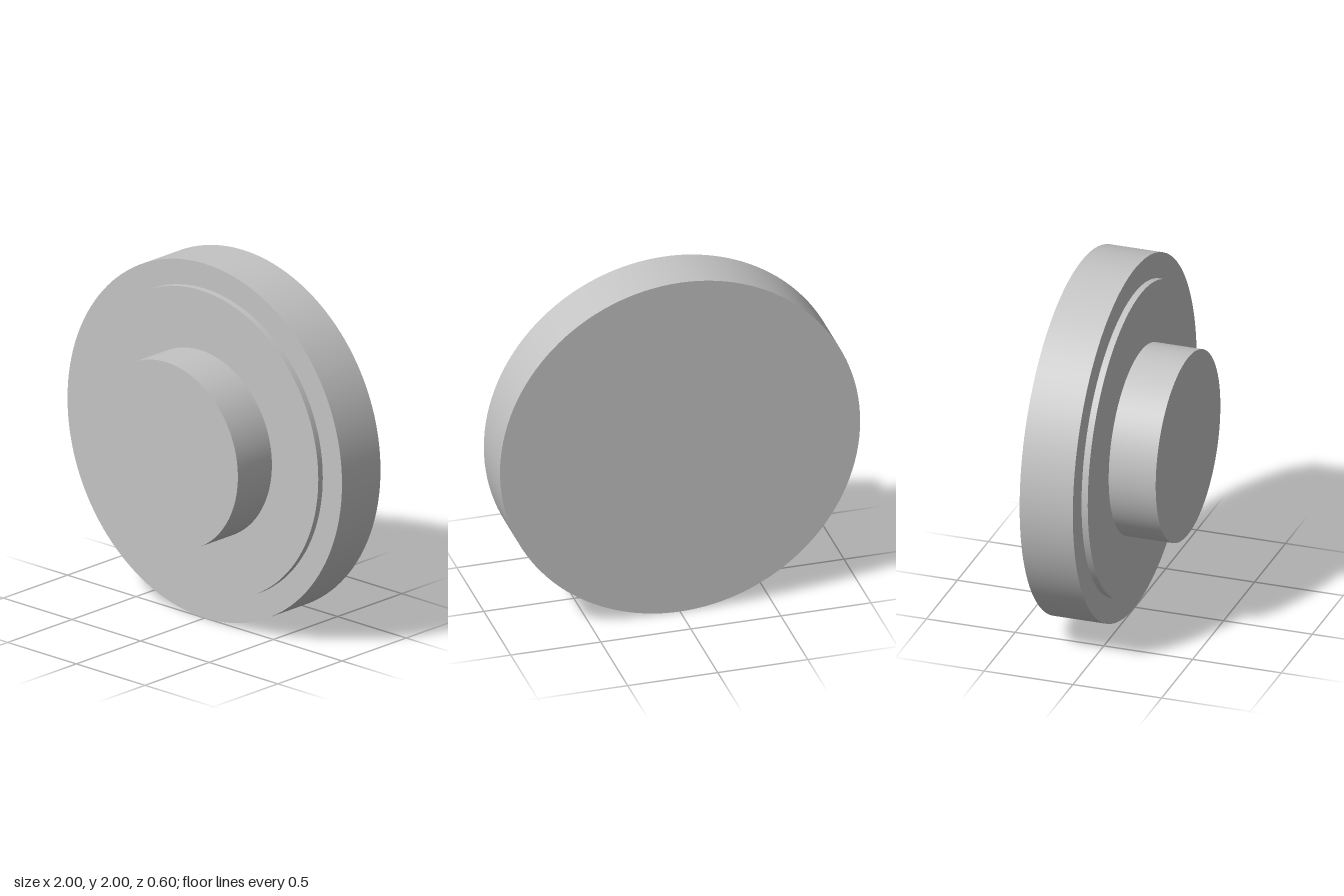
import * as THREE from 'three';
import { mergeGeometries } from 'three/addons/utils/BufferGeometryUtils.js';

const SEGMENTS = 128;

// Outer wall of a round step along z
function wall(radius, back, front) {
  return new THREE.CylinderGeometry(radius, radius, front - back, SEGMENTS, 1, true)
    .rotateX(Math.PI / 2)
    .translate(0, 0, (back + front) / 2);
}

// Flat front face, left open where the next step sits on it
function face(inner, outer, z) {
  const geometry = inner > 0
    ? new THREE.RingGeometry(inner, outer, SEGMENTS, 1)
    : new THREE.CircleGeometry(outer, SEGMENTS);
  return geometry.translate(0, 0, z);
}

export function createModel() {
  const group = new THREE.Group();
  group.name = 'steppedDisc';

  const grey = new THREE.MeshStandardMaterial({ color: 0xc4c4c4 });
  grey.name = 'light grey';

  // Concentric steps from back to front
  const steps = [
    { name: 'baseDisc', radius: 1, back: -0.3, front: 0 },
    { name: 'raisedStep', radius: 0.86, back: 0, front: 0.035 },
    { name: 'centreHub', radius: 0.522, back: 0.035, front: 0.3 },
  ];

  steps.forEach(({ name, radius, back, front }, i) => {
    const inner = i + 1 < steps.length ? steps[i + 1].radius : 0;
    const parts = [wall(radius, back, front), face(inner, radius, front)];
    // Closed back of the base
    if (i === 0) parts.push(new THREE.CircleGeometry(radius, SEGMENTS).rotateY(Math.PI).translate(0, 0, back));
    const mesh = new THREE.Mesh(mergeGeometries(parts), grey);
    mesh.name = name;
    mesh.position.y = 1;
    group.add(mesh);
  });

  return group;
}
